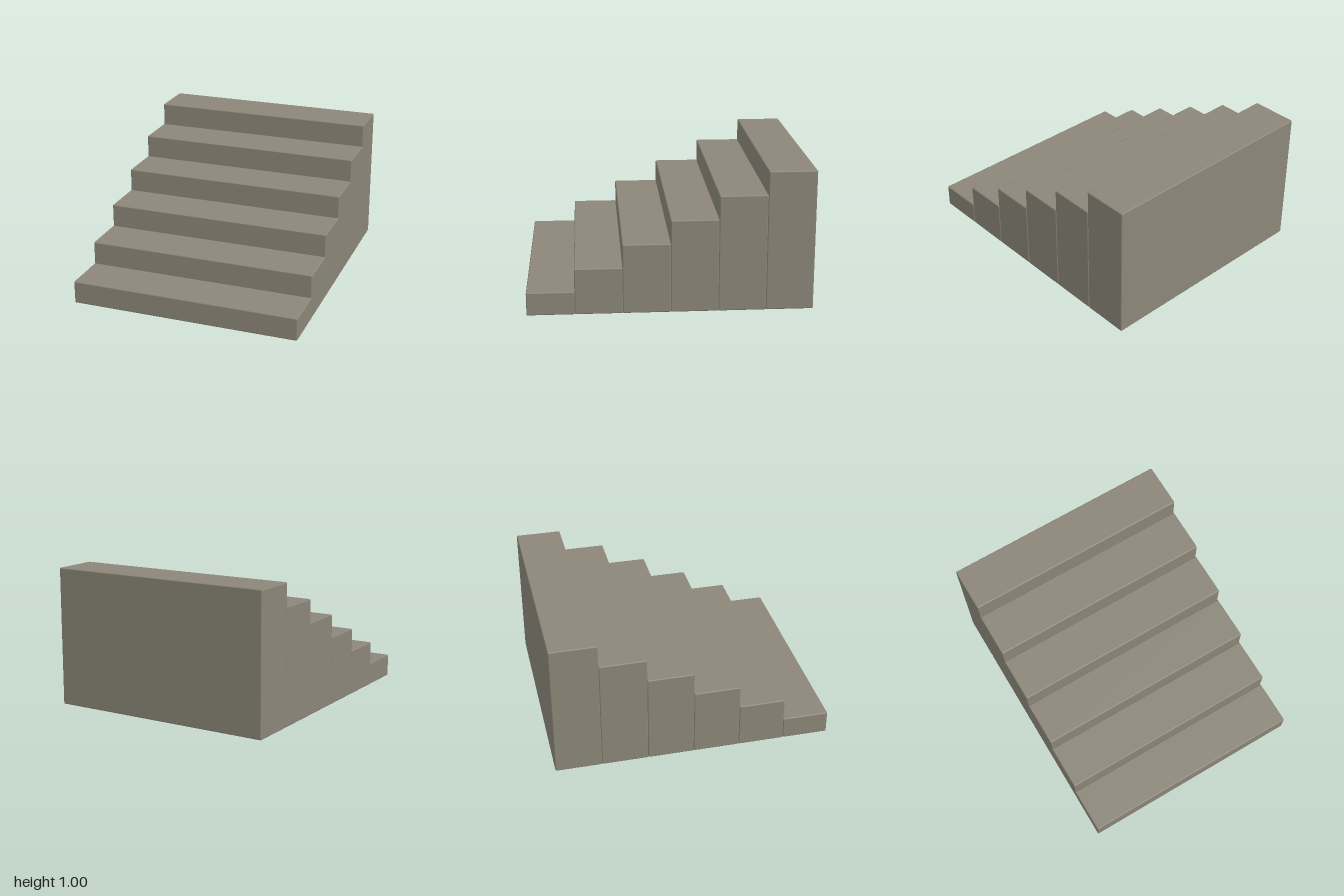
import * as THREE from 'three';
import { RoundedBoxGeometry } from 'three/addons/geometries/RoundedBoxGeometry.js';

const STEPS = 6;
const WIDTH = 1.66;
const DEPTH = 2 / STEPS;
const RISE = 1 / STEPS;
const BEVEL = 0.008;

export function createModel() {
  const stairs = new THREE.Group();
  stairs.name = 'stairs';
  const stone = new THREE.MeshStandardMaterial({ color: 0x8b8678 });

  // Solid blocks with softened edges, rising from front to back
  for (let i = 0; i < STEPS; i++) {
    const height = RISE * (i + 1);
    const step = new THREE.Mesh(new RoundedBoxGeometry(WIDTH, height, DEPTH, 2, BEVEL), stone);
    step.name = `step${i + 1}`;
    step.position.set(0, height / 2, 1 - DEPTH * (i + 0.5));
    stairs.add(step);
  }
  return stairs;
}
